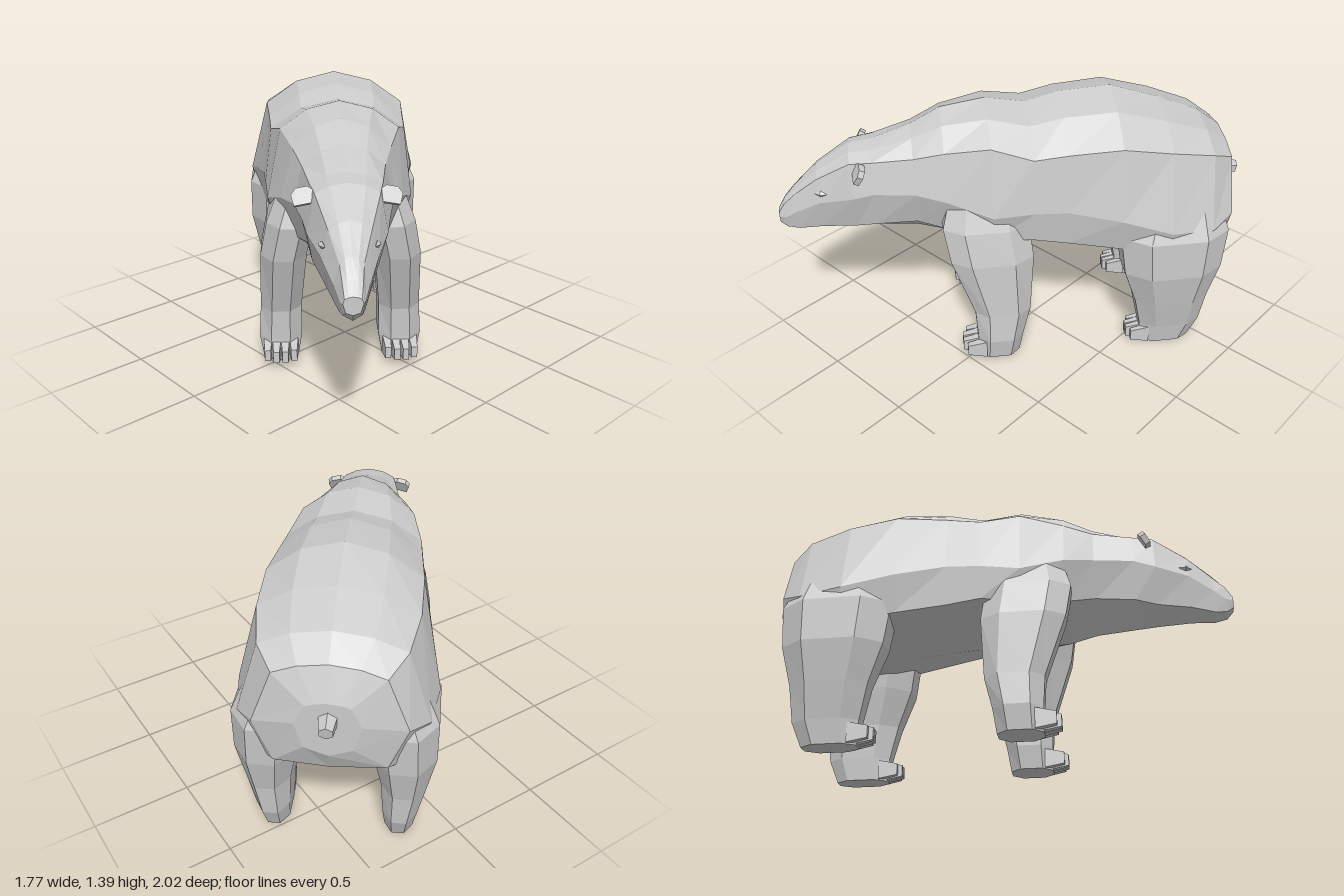
import * as THREE from 'three';

const mat = new THREE.MeshStandardMaterial({ color: 0xcccccc, flatShading: true, side: THREE.DoubleSide });

// Skin through closed rings of [x, y, z] points, capped at both ends
function loft(rings, name) {
  const n = rings[0].length, pos = [];
  const tri = (a, b, c) => pos.push(...a, ...b, ...c);
  for (let i = 0; i < rings.length - 1; i++) {
    for (let j = 0; j < n; j++) {
      const k = (j + 1) % n;
      const a = rings[i][j], b = rings[i + 1][j], c = rings[i + 1][k], d = rings[i][k];
      tri(a, b, c);
      tri(a, c, d);
    }
  }
  const middle = (r) => [0, 1, 2].map((q) => r.reduce((t, p) => t + p[q], 0) / n);
  const first = rings[0], last = rings[rings.length - 1];
  const m0 = middle(first), m1 = middle(last);
  for (let j = 0; j < n; j++) {
    const k = (j + 1) % n;
    tri(m0, first[j], first[k]);
    tri(m1, last[k], last[j]);
  }
  const g = new THREE.BufferGeometry();
  g.setAttribute('position', new THREE.Float32BufferAttribute(pos, 3));
  g.computeVertexNormals();
  const mesh = new THREE.Mesh(g, mat);
  mesh.name = name;
  return mesh;
}

// Torso ring: top, crease, side and lower edge, mirrored across the spine
function bodyRing([z, top, cx, cy, sx, sy, bx, by, bottom]) {
  const half = [
    [cx * 0.55, top - (top - cy) * 0.3, z], [cx, cy, z], [sx, sy, z], [bx, by, z],
  ];
  const other = half.map(([x, y, w]) => [-x, y, w]).reverse();
  return [[0, top, z], ...half, [0, bottom, z], ...other];
}

// Leg ring: rectangle with cut corners at height y
function legRing([y, xIn, xOut, zFront, zBack], side) {
  const cx = (xOut - xIn) * 0.28, cz = (zFront - zBack) * 0.24;
  const r = [
    [xOut - cx, zFront], [xOut, zFront - cz], [xOut, zBack + cz], [xOut - cx, zBack],
    [xIn + cx, zBack], [xIn, zBack + cz], [xIn, zFront - cz], [xIn + cx, zFront],
  ].map(([x, z]) => [x * side, y, z]);
  return side > 0 ? r : r.reverse();
}

// Rows: z, top y, crease x/y, side x/y, lower edge x/y, bottom y
const bodyRows = [
  [-1.05, 0.97, 0.1, 0.95, 0.15, 0.85, 0.11, 0.72, 0.68],
  [-0.99, 1.13, 0.25, 1.07, 0.35, 0.8, 0.26, 0.58, 0.56],
  [-0.87, 1.22, 0.33, 1.13, 0.44, 0.76, 0.38, 0.56, 0.53],
  [-0.65, 1.31, 0.37, 1.18, 0.475, 0.78, 0.43, 0.6, 0.54],
  [-0.4, 1.39, 0.37, 1.22, 0.435, 0.85, 0.39, 0.66, 0.57],
  [-0.14, 1.375, 0.35, 1.2, 0.39, 0.9, 0.36, 0.7, 0.6],
  [0.03, 1.33, 0.34, 1.18, 0.375, 0.9, 0.35, 0.73, 0.61],
  [0.23, 1.365, 0.29, 1.23, 0.36, 0.88, 0.31, 0.72, 0.6],
  [0.45, 1.33, 0.23, 1.19, 0.29, 0.95, 0.22, 0.75, 0.61],
  [0.6, 1.25, 0.19, 1.15, 0.23, 0.97, 0.17, 0.78, 0.65],
];
const headRows = [
  bodyRows[bodyRows.length - 1],
  [0.8, 1.18, 0.16, 1.13, 0.195, 0.97, 0.15, 0.77, 0.67],
  [0.91, 1.165, 0.14, 1.12, 0.175, 0.94, 0.12, 0.75, 0.68],
  [1.08, 1.06, 0.09, 1.02, 0.12, 0.9, 0.085, 0.74, 0.69],
  [1.2, 0.95, 0.05, 0.92, 0.075, 0.83, 0.055, 0.72, 0.685],
  [1.26, 0.88, 0.042, 0.865, 0.055, 0.79, 0.04, 0.725, 0.7],
  [1.295, 0.82, 0.035, 0.81, 0.042, 0.79, 0.03, 0.75, 0.74],
];

// Rows: y, inner x, outer x, front z, back z
const legs = {
  front: [
    [1.1, 0.1, 0.25, 0.4, 0.14], [0.8, 0.13, 0.365, 0.48, 0.05], [0.62, 0.17, 0.4, 0.45, 0.03],
    [0.3, 0.2, 0.41, 0.34, 0.05], [0.14, 0.2, 0.42, 0.33, 0.09], [0.02, 0.22, 0.4, 0.33, 0.11],
  ],
  rear: [
    [1.0, 0.12, 0.36, -0.55, -0.88], [0.72, 0.15, 0.48, -0.41, -0.97], [0.5, 0.18, 0.48, -0.44, -0.95],
    [0.3, 0.22, 0.44, -0.51, -0.9], [0.12, 0.23, 0.4, -0.55, -0.88], [0, 0.24, 0.38, -0.56, -0.83],
  ],
};

// Tapered toe block: narrower and lower toward its tip
function toe(x, y, z, w) {
  const g = new THREE.BoxGeometry(w, 0.1, 0.1);
  const p = g.attributes.position;
  for (let i = 0; i < p.count; i++) {
    if (p.getZ(i) > 0) {
      p.setX(i, p.getX(i) * 0.7);
      p.setY(i, p.getY(i) > 0 ? 0.03 : -0.03);
    }
  }
  g.computeVertexNormals();
  const m = new THREE.Mesh(g, mat);
  m.position.set(x, y + 0.055, z);
  m.name = 'toe';
  return m;
}

function buildLeg(kind, side) {
  const rows = legs[kind], leg = new THREE.Group();
  leg.name = `${kind}Leg${side > 0 ? 'Left' : 'Right'}`;
  leg.add(loft(rows.map((r) => legRing(r, side)), 'limb'));
  const [y, xIn, xOut, zFront] = rows[rows.length - 1];
  const w = (xOut - xIn) / 4;
  for (let i = 0; i < 4; i++) {
    const inner = i === 1 || i === 2;
    leg.add(toe(side * (xIn + w * (i + 0.5)), y, zFront + (inner ? 0.03 : 0.01), w * 0.97));
  }
  return leg;
}

// Small rounded ear, laid back against the head
function buildEar(side) {
  const s = new THREE.Shape([
    [-0.05, -0.04], [0.05, -0.04], [0.055, 0.01], [0.03, 0.035], [-0.02, 0.035], [-0.05, 0.01],
  ].map(([x, y]) => new THREE.Vector2(x * side, y)));
  const g = new THREE.ExtrudeGeometry(s, { depth: 0.03, bevelEnabled: false });
  const ear = new THREE.Mesh(g, mat);
  ear.position.set(side * 0.18, 1.09, 0.85);
  ear.rotation.set(-0.5, side * 0.15, side * -0.15);
  ear.name = side > 0 ? 'earLeft' : 'earRight';
  return ear;
}

export function createModel() {
  const model = new THREE.Group();
  model.name = 'bear';
  const bear = new THREE.Group();
  bear.name = 'turnedBody';
  bear.rotation.y = -0.69;
  bear.position.set(-0.031, 0, -0.025);
  model.add(bear);

  bear.add(loft(bodyRows.map(bodyRing), 'torso'));
  bear.add(loft(headRows.map(bodyRing), 'head'));

  // Short stub tail
  const tail = new THREE.Mesh(new THREE.CylinderGeometry(0.035, 0.052, 0.1, 6), mat);
  tail.rotation.x = -Math.PI / 2 - 0.2;
  tail.position.set(0, 0.87, -1.065);
  tail.name = 'tail';
  bear.add(tail);

  for (const side of [1, -1]) {
    bear.add(buildLeg('front', side), buildLeg('rear', side), buildEar(side));
    const eye = new THREE.Mesh(new THREE.OctahedronGeometry(0.03), mat);
    eye.scale.set(0.5, 0.6, 1.2);
    eye.position.set(side * 0.115, 0.95, 1.065);
    eye.rotation.y = side * -0.35;
    eye.name = side > 0 ? 'eyeLeft' : 'eyeRight';
    bear.add(eye);
  }
  return model;
}
